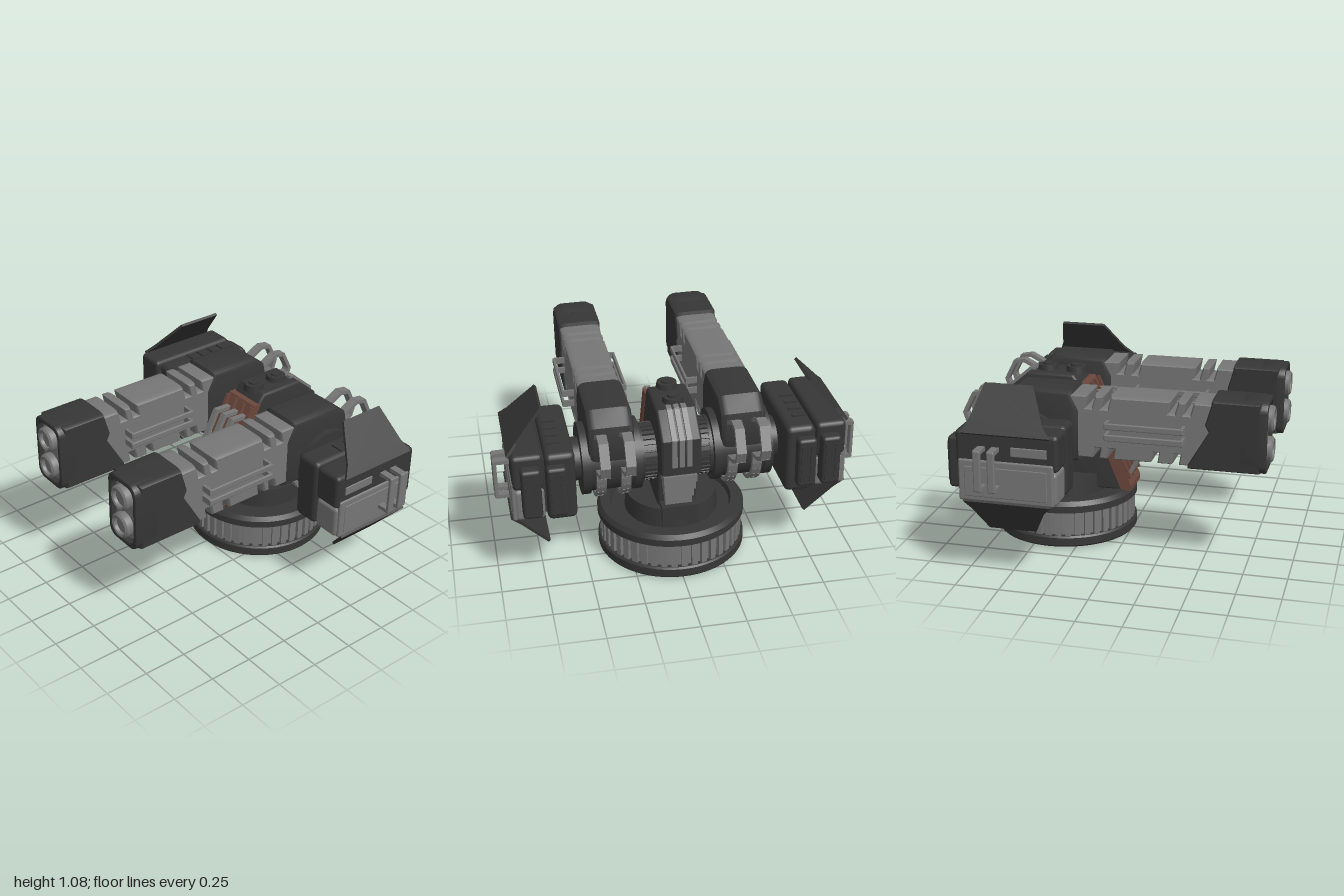
import * as THREE from 'three';
import { toCreasedNormals } from 'three/addons/utils/BufferGeometryUtils.js';
import { RoundedBoxGeometry } from 'three/addons/geometries/RoundedBoxGeometry.js';

const mat = (color) => new THREE.MeshStandardMaterial({ color });
const dark = mat(0x363636), grey = mat(0x767676), rust = mat(0x6b473c);

function add(parent, name, geo, material, x = 0, y = 0, z = 0) {
  const m = new THREE.Mesh(geo, material);
  m.name = name;
  m.position.set(x, y, z);
  parent.add(m);
  return m;
}
const box = (w, h, d) => new THREE.BoxGeometry(w, h, d);
const rbox = (w, h, d, r = 0.025) => new RoundedBoxGeometry(w, h, d, 2, r);

// Side outline of [z, y] points, given a width along x
function prism(pts, width, bevelX = 0, bevelSize = bevelX) {
  const shape = new THREE.Shape(pts.map(([z, y]) => new THREE.Vector2(z, y)));
  const depth = width - 2 * bevelX;
  const g = new THREE.ExtrudeGeometry(shape, {
    depth, bevelEnabled: bevelX > 0, bevelThickness: bevelX, bevelSize,
    bevelOffset: -bevelSize, bevelSegments: 3,
  });
  g.translate(0, 0, -depth / 2).rotateY(-Math.PI / 2);
  return bevelX ? toCreasedNormals(g, 0.6) : g;
}

// Cylinder lying along x
const axle = (r, len, seg = 40) => new THREE.CylinderGeometry(r, r, len, seg).rotateZ(Math.PI / 2);

// Flat strap following [z, y] points
function strap(parent, name, pts, width, thick, x, material) {
  for (let i = 0; i + 1 < pts.length; i++) {
    const [z0, y0] = pts[i], [z1, y1] = pts[i + 1];
    const len = Math.hypot(z1 - z0, y1 - y0);
    const m = add(parent, name, box(width, thick, len + thick * 0.5), material, x, (y0 + y1) / 2, (z0 + z1) / 2);
    m.rotation.x = -Math.atan2(y1 - y0, z1 - z0);
  }
}

function roundedRect(w, h, r, Kind = THREE.Shape) {
  const s = new Kind(), a = w / 2 - r, b = h / 2 - r;
  s.absarc(a, b, r, 0, Math.PI / 2);
  s.absarc(-a, b, r, Math.PI / 2, Math.PI);
  s.absarc(-a, -b, r, Math.PI, Math.PI * 1.5);
  s.absarc(a, -b, r, Math.PI * 1.5, Math.PI * 2);
  s.closePath();
  return s;
}

function makeBase() {
  const g = new THREE.Group();
  g.name = 'base';
  g.position.z = -0.4;
  const lathe = (p) => toCreasedNormals(new THREE.LatheGeometry(p.map(([r, y]) => new THREE.Vector2(r, y)), 64), 0.5);
  add(g, 'lowerRim', lathe([[0, 0], [0.41, 0], [0.418, 0.01], [0.418, 0.055], [0.41, 0.065], [0, 0.065]]), dark);
  add(g, 'drum', new THREE.CylinderGeometry(0.385, 0.385, 0.17, 64), grey, 0, 0.14);
  add(g, 'upperRim', lathe([[0, 0.21], [0.418, 0.21], [0.418, 0.25], [0.4, 0.275], [0.345, 0.275], [0.335, 0.245], [0, 0.245]]), dark);
  // Ribs around the drum
  for (let i = 0; i < 44; i++) {
    const a = (i / 44) * Math.PI * 2;
    add(g, 'drumRib', box(0.034, 0.15, 0.03), grey, Math.sin(a) * 0.389, 0.138, Math.cos(a) * 0.389).rotation.y = a;
  }
  add(g, 'turntable', new THREE.CylinderGeometry(0.255, 0.265, 0.115, 48), dark, 0, 0.3, -0.02);
  return g;
}

function makeColumn() {
  const g = new THREE.Group();
  g.name = 'column';
  add(g, 'columnBody', prism([[-0.02, 0.27], [-0.29, 0.9], [-0.33, 0.95], [-0.6, 0.95], [-0.74, 0.83],
    [-0.74, 0.62], [-0.62, 0.57], [-0.6, 0.27]], 0.22, 0.015), dark);
  add(g, 'frontPanel', prism([[0.02, 0.27], [0.02, 0.3], [-0.255, 0.9], [-0.3, 0.9], [-0.04, 0.27]], 0.23), rust);
  // Panel straps and raised bars
  for (const x of [-0.105, -0.035, 0.035, 0.105])
    strap(g, 'panelRib', [[0.005, 0.35], [-0.24, 0.885]], 0.018, 0.03, x, rust);
  for (const x of [-0.07, 0, 0.07])
    strap(g, 'frontBar', [[-0.21, 0.83], [-0.12, 0.835], [0.06, 0.48], [0.0, 0.36], [-0.04, 0.36]], 0.034, 0.022, x, grey);
  for (const z of [-0.51, -0.34]) {
    add(g, 'topKnob', new THREE.CylinderGeometry(0.055, 0.06, 0.04, 24), dark, 0, 0.96, z);
    add(g, 'topKnobCap', new THREE.CylinderGeometry(0.03, 0.03, 0.02, 20), dark, 0, 0.98, z);
  }
  for (const x of [-0.04, 0, 0.04])
    strap(g, 'rearVent', [[-0.58, 0.955], [-0.61, 0.95], [-0.745, 0.835], [-0.745, 0.68]], 0.028, 0.02, x, grey);
  // Stepped block low on the back
  for (let i = 0; i < 4; i++)
    add(g, 'rearStep', box(0.15 + 0.012 * i, 0.045, 0.14), grey, 0, 0.4 + 0.055 * i, -0.58 - 0.018 * i);
  add(g, 'rearFoot', box(0.2, 0.12, 0.16), dark, 0, 0.32, -0.6);
  return g;
}

function makeGun() {
  const g = new THREE.Group();
  g.name = 'gun';
  // Grey body with slanted notches above and below
  const top = [0.43, 0.345, -0.03, -0.12].flatMap((z) => [[z + 0.02, 0.95], [z, 0.88], [z - 0.03, 0.88], [z - 0.015, 0.95]]);
  const low = [-0.1, -0.02, 0.23, 0.35].flatMap((z) => [[z - 0.015, 0.585], [z, 0.645], [z + 0.03, 0.645], [z + 0.02, 0.585]]);
  add(g, 'barrelBody', prism([[0.6, 0.95], ...top, [-0.3, 0.95], [-0.3, 0.585], ...low, [0.6, 0.585]], 0.235, 0.045, 0.012), grey);
  // Side rails on both faces
  for (const s of [-1, 1]) for (const y of [0.8, 0.735]) {
    add(g, 'sideRail', rbox(0.016, 0.036, 0.44, 0.006), grey, s * 0.18, y, 0.19);
    for (const z of [-0.022, 0.402]) add(g, 'railEnd', box(0.09, 0.036, 0.016), grey, s * 0.14, y, z);
  }
  // Muzzle
  add(g, 'muzzleSkirt', prism([[0.82, 0.97], [0.55, 0.97], [0.51, 0.83], [0.53, 0.79], [0.42, 0.6],
    [0.42, 0.57], [0.82, 0.57]], 0.25, 0.05, 0.012), dark);
  const rim = roundedRect(0.25, 0.405, 0.06);
  rim.holes.push(roundedRect(0.195, 0.345, 0.05, THREE.Path));
  add(g, 'muzzleRim', toCreasedNormals(new THREE.ExtrudeGeometry(rim, { depth: 0.13, bevelEnabled: true, bevelSize: 0.008,
    bevelOffset: -0.008, bevelThickness: 0.008, bevelSegments: 2, curveSegments: 8 }), 0.6), dark, 0, 0.77, 0.715);
  add(g, 'muzzlePlate', new THREE.ExtrudeGeometry(roundedRect(0.17, 0.32, 0.05), { depth: 0.03, bevelEnabled: false }), grey, 0, 0.77, 0.8);
  const bore = [[0.04, -0.04], [0.05, 0.07], [0.06, 0.075], [0.072, 0.065], [0.075, -0.04]].reverse();
  for (const y of [0.86, 0.685]) {
    add(g, 'bore', toCreasedNormals(new THREE.LatheGeometry(bore.map(([r, h]) => new THREE.Vector2(r, h)), 28).rotateX(Math.PI / 2), 0.6),
      new THREE.MeshStandardMaterial({ color: 0x767676, side: THREE.DoubleSide }), 0, y, 0.803);
    add(g, 'boreCore', new THREE.CylinderGeometry(0.052, 0.052, 0.02, 28).rotateX(Math.PI / 2), grey, 0, y, 0.845);
  }
  // Rear housing
  add(g, 'rearHousing', prism([[-0.18, 0.56], [-0.18, 0.86], [-0.235, 0.97], [-0.55, 0.97], [-0.64, 0.9],
    [-0.67, 0.75], [-0.6, 0.56]], 0.25, 0.045, 0.03), dark);
  // Collar with straps that loop out at the back
  add(g, 'collar', axle(0.185, 0.28), dark, 0, 0.64, -0.48);
  for (const s of [-1, 1]) {
    add(g, 'collarFlange', axle(0.2, 0.045), dark, s * 0.14, 0.64, -0.48);
    const under = [];
    for (let i = 0; i <= 12; i++) {
      const a = -0.5 - (i / 12) * 2.75;
      under.push([-0.48 + Math.cos(a) * 0.207, 0.64 + Math.sin(a) * 0.207]);
    }
    strap(g, 'collarStrap', under, 0.052, 0.024, s * 0.067, grey);
    strap(g, 'rearLoop', [[-0.62, 0.84], [-0.7, 0.885], [-0.75, 0.91], [-0.81, 0.9], [-0.865, 0.79], [-0.845, 0.73],
      [-0.78, 0.69], [-0.68, 0.66]], 0.052, 0.022, s * 0.067, grey);
  }
  return g;
}

function makePod(s) {
  const g = new THREE.Group();
  g.name = 'sidePod';
  add(g, 'innerBlock', rbox(0.16, 0.4, 0.57, 0.03), dark, s * 0.65, 0.64, -0.475);
  add(g, 'podCore', box(0.2, 0.32, 0.5), dark, s * 0.76, 0.64, -0.475);
  add(g, 'upperBlock', rbox(0.168, 0.205, 0.57), dark, s * 0.822, 0.74, -0.465);
  add(g, 'lowerBlock', rbox(0.165, 0.19, 0.55), grey, s * 0.82, 0.54, -0.465);
  add(g, 'sidePlate', rbox(0.03, 0.235, 0.53, 0.012), grey, s * 0.9, 0.565, -0.47);
  add(g, 'sidePlateInset', rbox(0.012, 0.17, 0.46, 0.005), grey, s * 0.913, 0.56, -0.47);
  add(g, 'sideSlot', rbox(0.012, 0.052, 0.2, 0.005), grey, s * 0.906, 0.74, -0.34);
  for (const x of [0.675, 0.81]) {
    add(g, 'rearBox', rbox(0.105, 0.29, 0.1, 0.018), dark, s * x, 0.64, -0.76);
    for (const d of [-0.025, 0.025]) add(g, 'rearBoxRib', box(0.018, 0.22, 0.012), dark, s * (x + d), 0.64, -0.81);
  }
  for (let i = 0; i < 4; i++)
    for (const y of [0.843, 0.437]) add(g, 'podSlat', box(0.07, 0.012, 0.02), dark, s * 0.67, y, -0.63 + i * 0.078);
  // Outer handles
  for (const z of [-0.6, -0.522]) {
    add(g, 'handleGrip', rbox(0.022, 0.23, 0.042, 0.008), grey, s * 0.985, 0.645, z);
    for (const y of [0.541, 0.749]) add(g, 'handleArm', box(0.09, 0.022, 0.042), grey, s * 0.943, y, z);
  }
  // Leaning fins above and below
  for (const v of [1, -1]) {
    const pts = [[-0.22, -0.03], [-0.27, 0.04], [-0.365, 0.27], [-0.635, 0.27], [-0.68, 0.05], [-0.71, -0.03]];
    add(g, 'fin', prism(pts.map(([z, u]) => [z, u * v]), 0.016), dark, s * 0.9, 0.64 + v * 0.21, 0).rotation.z = s * v * 0.72;
  }
  return g;
}

export function createModel() {
  const model = new THREE.Group();
  model.name = 'twinTurret';
  model.add(makeBase(), makeColumn());
  // Central ribbed axle
  add(model, 'mainAxle', axle(0.148, 0.5), dark, 0, 0.64, -0.48);
  for (const s of [-1, 1]) {
    for (let i = 0; i < 32; i++) {
      const a = (i / 32) * Math.PI * 2;
      add(model, 'axleRib', box(0.075, 0.02, 0.016), dark, s * 0.15, 0.64 + Math.sin(a) * 0.153, -0.48 + Math.cos(a) * 0.153).rotation.x = -a;
    }
    add(model, 'axleRing', axle(0.165, 0.02), dark, s * 0.19, 0.64, -0.48);
    add(model, 'outerAxle', axle(0.12, 0.16), dark, s * 0.54, 0.64, -0.48);
    const gun = makeGun();
    gun.position.x = s * 0.36;
    model.add(gun, makePod(s));
  }
  // Slight sideways lean of the whole turret
  model.rotation.z = -0.017;
  model.position.set(-0.011, 0.007, 0);
  const root = new THREE.Group();
  root.name = 'turret';
  root.add(model);
  return root;
}
